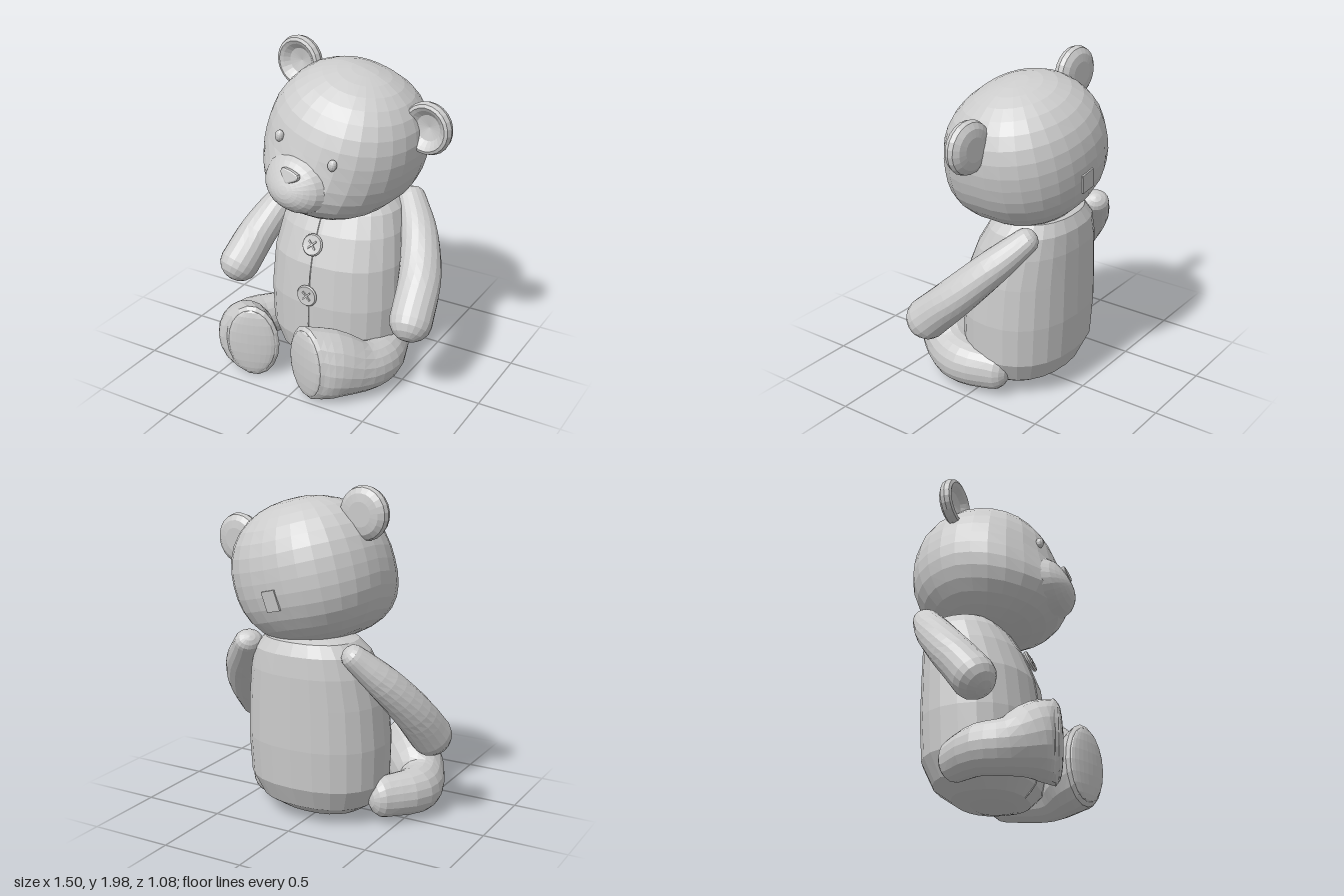
import * as THREE from 'three';

const V = (x, y, z) => new THREE.Vector3(x, y, z);
const mat = new THREE.MeshStandardMaterial({ color: 0xcccccc, flatShading: true, side: THREE.DoubleSide });

function add(parent, name, geo, pos = [0, 0, 0]) {
  const mesh = new THREE.Mesh(geo, mat);
  mesh.name = name;
  mesh.position.set(...pos);
  parent.add(mesh);
  return mesh;
}

// Skin a list of closed rings (arrays of Vector3), both ends closed
function loft(rings) {
  const n = rings[0].length, pos = [], idx = [];
  rings.forEach(r => r.forEach(p => pos.push(p.x, p.y, p.z)));
  for (let i = 0; i < rings.length - 1; i++)
    for (let j = 0; j < n; j++) {
      const a = i * n + j, b = i * n + (j + 1) % n;
      idx.push(a, b, a + n, b, b + n, a + n);
    }
  const geo = new THREE.BufferGeometry();
  geo.setAttribute('position', new THREE.Float32BufferAttribute(pos, 3));
  geo.setIndex(idx);
  geo.computeVertexNormals();
  return geo;
}

// Limb swept along points [x, y, z, halfWidth, halfHeight], with rounded end caps;
// the last rings turn towards the direction aim
function limb(pts, cap0, cap1, aim, steps = 12, sides = 18) {
  const path = new THREE.CatmullRomCurve3(pts.map(p => V(p[0], p[1], p[2])));
  const size = new THREE.CatmullRomCurve3(pts.map(p => V(p[3], p[4], 0)));
  const ring = (t, shift, k) => {
    const T = path.getTangent(t).lerp(aim, t ** 4).normalize();
    const c = path.getPoint(t).addScaledVector(T, shift), r = size.getPoint(t);
    const S = V(0, 1, 0).cross(T).normalize(), U = T.clone().cross(S);
    return Array.from({ length: sides }, (_, j) => {
      const a = j / sides * Math.PI * 2;
      return c.clone().addScaledVector(S, Math.cos(a) * r.x * k).addScaledVector(U, Math.sin(a) * r.y * k);
    });
  };
  const rings = [], q = Math.PI / 2;
  for (let i = 0; i < 4; i++) rings.push(ring(0, -cap0 * Math.cos(i / 4 * q), Math.sin(i / 4 * q)));
  for (let i = 0; i <= steps; i++) rings.push(ring(i / steps, 0, 1));
  for (let i = 1; i <= 4; i++) rings.push(ring(1, cap1 * Math.sin(i / 4 * q), Math.cos(i / 4 * q)));
  return loft(rings);
}

// Head surface: rounded box whose front half drops forward and is fuller around the snout
const P = 2.3, HX = 0.455, HY = 0.42, HZ = 0.44, DROP = 0.14;
function swell(x, y, z) {
  return z + 0.12 * Math.exp(-((x / 0.3) ** 2) - ((y + 0.29) / 0.18) ** 2) * Math.min(1, z / 0.2);
}
function headZ(x, y) {
  let z = 0.35;
  for (let i = 0; i < 8; i++) {
    const k = 1 - Math.abs(x / HX) ** P - Math.abs((y + DROP * z) / HY) ** P;
    z = HZ * Math.max(k, 0) ** (1 / P);
  }
  return swell(x, y, z);
}

function buildHead() {
  const head = new THREE.Group();
  head.name = 'head';
  head.position.set(0.055, 1.485, -0.11);
  head.rotation.set(0, -0.1, -0.25, 'ZYX');

  const skull = new THREE.SphereGeometry(1, 28, 18), p = skull.attributes.position;
  for (let i = 0; i < p.count; i++) {
    const x = p.getX(i), y = p.getY(i), z = p.getZ(i);
    const k = (Math.abs(x) ** P + Math.abs(y) ** P + Math.abs(z) ** P) ** (-1 / P);
    const X = x * k * HX, Z = z * k * HZ, Y = y * k * HY - DROP * Math.max(Z, 0);
    p.setXYZ(i, X, Y, Z > 0 ? swell(X, Y, Z) : Z);
  }
  skull.computeVertexNormals();
  add(head, 'skull', skull);

  // Snout patch: a dome laid over the head surface
  const dome = new THREE.RingGeometry(0.001, 1, 28, 7), d = dome.attributes.position;
  for (let i = 0; i < d.count; i++) {
    const r = Math.hypot(d.getX(i), d.getY(i)), x = d.getX(i) * 0.207, y = d.getY(i) * 0.167 - 0.185;
    d.setXYZ(i, x, y, headZ(x, y) - 0.006 + 0.053 * Math.sqrt(Math.max(0, 1 - r ** 2.5)));
  }
  dome.computeVertexNormals();
  add(head, 'snout', dome);

  // Nose: rounded triangle, point down
  const tri = new THREE.Shape();
  tri.moveTo(-0.045, 0.02);
  tri.quadraticCurveTo(0, 0.03, 0.045, 0.02);
  tri.quadraticCurveTo(0.06, 0.01, 0.04, -0.008);
  tri.lineTo(0.008, -0.034);
  tri.quadraticCurveTo(0, -0.04, -0.008, -0.034);
  tri.lineTo(-0.04, -0.008);
  tri.quadraticCurveTo(-0.06, 0.01, -0.045, 0.02);
  const nose = new THREE.ExtrudeGeometry(tri, { depth: 0.03, bevelSize: 0.01, bevelThickness: 0.01, bevelSegments: 2, curveSegments: 4 });
  add(head, 'nose', nose, [0, -0.11, headZ(0, -0.11) + 0.015]).rotation.x = -0.25;

  // Ears: softly cupped discs with a thick rim
  const earProfile = [[0, -0.05], [0.07, -0.05], [0.115, -0.042], [0.145, -0.02], [0.153, 0.008], [0.143, 0.036],
    [0.125, 0.044], [0.105, 0.032], [0.075, 0.004], [0, -0.012]].map(q => new THREE.Vector2(...q));
  for (const s of [-1, 1]) {
    const side = s > 0 ? 'left' : 'right';
    const ear = new THREE.LatheGeometry(earProfile, 22);
    ear.rotateX(Math.PI / 2);
    add(head, side + 'Ear', ear, [s * 0.455, 0.255, -0.04]);
    const eye = new THREE.SphereGeometry(0.03, 12, 8);
    eye.scale(0.9, 1.15, 0.8);
    add(head, side + 'Eye', eye, [s * 0.187, 0.025, headZ(0.187, 0.025) + 0.008]);
  }

  // Small label patch on the back
  add(head, 'backPatch', new THREE.BoxGeometry(0.09, 0.12, 0.012), [0, -0.1, -0.432]).rotation.x = -0.12;
  return head;
}

// Torso sections: height, half width, front z, back z
const torso = [[0.03, 0.001, -0.05, -0.055], [0.035, 0.16, 0.07, -0.18], [0.06, 0.26, 0.14, -0.28], [0.13, 0.36, 0.2, -0.38],
  [0.26, 0.42, 0.23, -0.44], [0.5, 0.43, 0.23, -0.455], [0.75, 0.415, 0.2, -0.455], [0.93, 0.385, 0.13, -0.455],
  [1.05, 0.345, 0.06, -0.445], [1.12, 0.28, 0, -0.41], [1.15, 0.16, -0.08, -0.32], [1.16, 0.001, -0.2, -0.205]];

function buildBody() {
  const body = new THREE.Group();
  body.name = 'body';
  const pw = v => Math.sign(v) * Math.abs(v) ** 0.87;
  add(body, 'torso', loft(torso.map(([y, rx, zf, zb]) => Array.from({ length: 24 }, (_, j) => {
    const a = j / 24 * Math.PI * 2;
    return V(0.01 + pw(Math.cos(a)) * rx, y, (zf + zb) / 2 - pw(Math.sin(a)) * (zf - zb) / 2);
  }))));

  // Front seam
  const seam = new THREE.CatmullRomCurve3(torso.slice(2, 10).map(([y, , zf]) => V(-0.02, y, zf - 0.002)));
  add(body, 'frontSeam', new THREE.TubeGeometry(seam, 24, 0.004, 5));

  // Buttons: shallow dishes with crossed thread
  const rim = [[0, -0.012], [0.06, -0.012], [0.067, 0], [0.06, 0.01], [0, 0.004]];
  [[-0.02, 0.875, 0.178, -0.42], [-0.03, 0.56, 0.23, -0.05]].forEach(([x, y, z, tilt], i) => {
    const button = new THREE.Group();
    button.name = i ? 'lowerButton' : 'upperButton';
    button.position.set(x, y, z);
    button.rotation.x = tilt;
    const disc = new THREE.LatheGeometry(rim.map(q => new THREE.Vector2(...q)), 20);
    disc.rotateX(Math.PI / 2);
    add(button, 'buttonDisc', disc);
    for (const s of [-1, 1])
      add(button, 'thread', new THREE.BoxGeometry(0.07, 0.01, 0.012), [0, 0, 0.009]).rotation.z = s * Math.PI / 4;
    body.add(button);
  });
  return body;
}

function buildLeg(name, aim, pts) {
  const leg = new THREE.Group();
  leg.name = name;
  aim.normalize();
  add(leg, 'legAndFoot', limb(pts, 0.1, 0.04, aim));
  // Sole pad facing along the end of the foot
  const pad = new THREE.SphereGeometry(1, 22, 10);
  pad.scale(0.147, 0.215, 0.03);
  const end = V(...pts[pts.length - 1].slice(0, 3)).addScaledVector(aim, 0.016);
  add(leg, 'solePad', pad, end.toArray()).lookAt(end.clone().add(aim));
  return leg;
}

export function createModel() {
  const model = new THREE.Group();
  model.name = 'teddyBear';
  model.add(buildHead(), buildBody());

  // Arms, shoulder to paw
  add(model, 'leftArm', limb([[0.36, 1.07, -0.335, 0.085, 0.072], [0.49, 0.91, -0.19, 0.11, 0.1],
    [0.585, 0.72, -0.01, 0.125, 0.115], [0.625, 0.545, 0.17, 0.125, 0.125]], 0.065, 0.115, V(0.1, -0.68, 0.7)));
  add(model, 'rightArm', limb([[-0.335, 1.07, -0.34, 0.085, 0.072], [-0.47, 0.91, -0.23, 0.11, 0.1],
    [-0.575, 0.72, -0.08, 0.125, 0.115], [-0.63, 0.545, 0.06, 0.125, 0.125]], 0.065, 0.115, V(-0.2, -0.75, 0.6)));

  // Legs, hip to sole
  model.add(buildLeg('leftLeg', V(-0.38, 0, 0.92), [[0.37, 0.18, -0.11, 0.1, 0.125], [0.39, 0.18, 0.07, 0.13, 0.14],
    [0.345, 0.185, 0.21, 0.14, 0.155], [0.215, 0.235, 0.35, 0.17, 0.215], [0.105, 0.254, 0.445, 0.165, 0.238]]));
  model.add(buildLeg('rightLeg', V(0.3, 0, 0.95), [[-0.42, 0.18, -0.11, 0.1, 0.125], [-0.53, 0.18, 0.07, 0.13, 0.14],
    [-0.51, 0.185, 0.2, 0.14, 0.155], [-0.41, 0.235, 0.32, 0.17, 0.215], [-0.31, 0.254, 0.4, 0.165, 0.238]]));
  return model;
}
